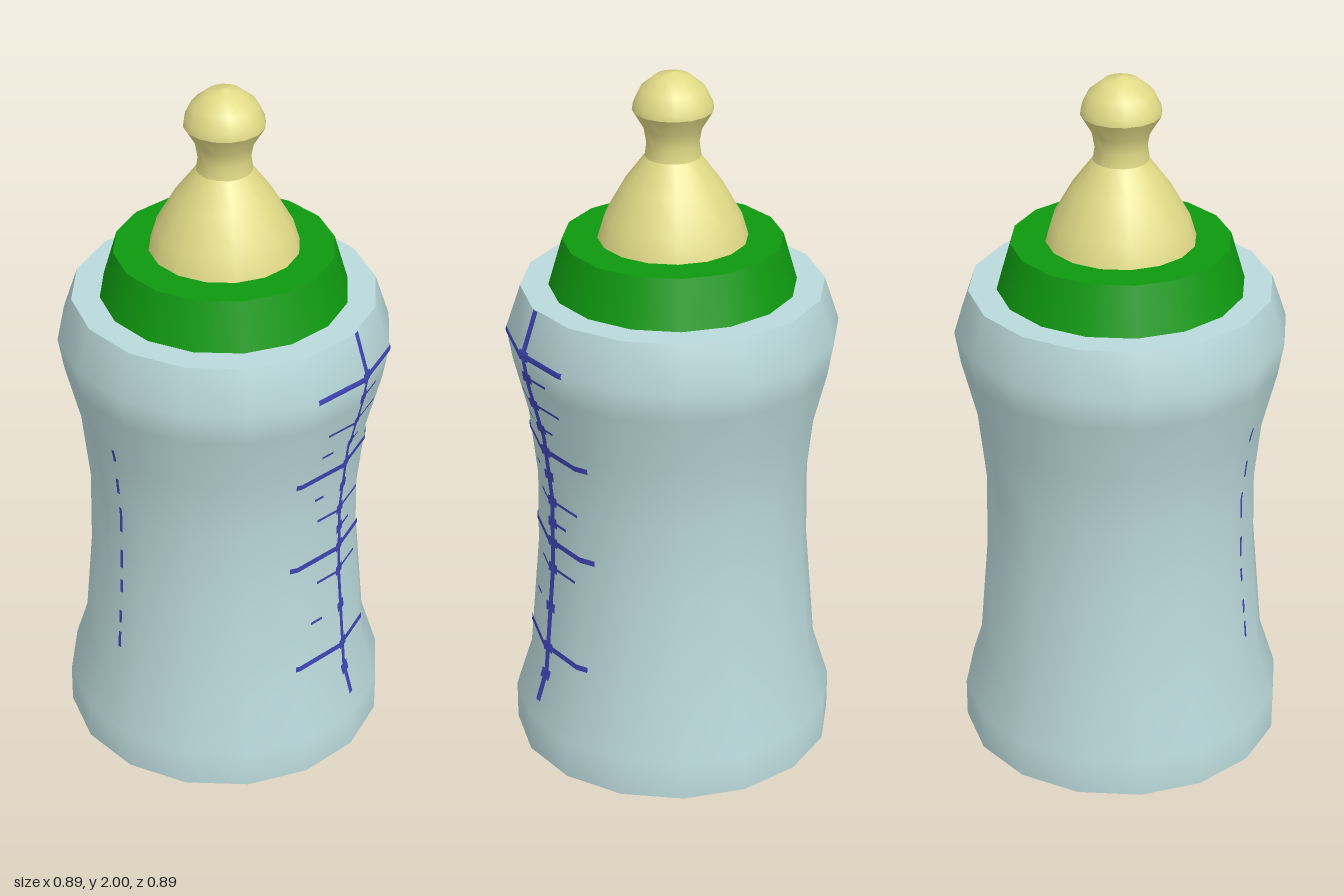
import * as THREE from 'three';

const SIDES = 16;
const STEP = (Math.PI * 2) / SIDES;

// Bottle wall profile: [radius, height]
const WALL = [[0.445, 0.075], [0.445, 0.185], [0.4, 0.33], [0.373, 0.65], [0.37, 0.86],
  [0.39, 1.05], [0.43, 1.21], [0.445, 1.3], [0.405, 1.42]];

function wallRadius(y) {
  for (let i = 1; i < WALL.length; i++) {
    const [r0, y0] = WALL[i - 1], [r1, y1] = WALL[i];
    if (y <= y1) return r0 + ((r1 - r0) * (y - y0)) / (y1 - y0);
  }
  return WALL[WALL.length - 1][0];
}

// Depth of the faceted wall at a given x and radius
function wallDepth(x, r) {
  const a = Math.abs(x), x1 = r * Math.sin(STEP), z1 = r * Math.cos(STEP);
  if (a <= x1) return r + ((z1 - r) * a) / x1;
  const x2 = r * Math.sin(2 * STEP), z2 = r * Math.cos(2 * STEP);
  return z1 + ((z2 - z1) * (a - x1)) / (x2 - x1);
}

// Printed rectangle that follows the facets of the wall
function mark(x0, x1, y0, y1) {
  const corner = wallRadius((y0 + y1) / 2) * Math.sin(STEP);
  const xs = [x0, ...[-corner, 0, corner].filter((x) => x > x0 && x < x1), x1];
  const ys = [y0, ...WALL.map((p) => p[1]).filter((y) => y > y0 && y < y1), y1];
  const pos = [], index = [];
  for (const y of ys) for (const x of xs) pos.push(x, y, wallDepth(x, wallRadius(y)) + 0.004);
  const n = xs.length;
  for (let j = 0; j < ys.length - 1; j++) {
    for (let i = 0; i < n - 1; i++) {
      const a = j * n + i, b = a + 1, c = a + n, d = c + 1;
      index.push(a, b, d, a, d, c);
    }
  }
  const g = new THREE.BufferGeometry();
  g.setAttribute('position', new THREE.Float32BufferAttribute(pos, 3));
  g.setIndex(index);
  g.computeVertexNormals();
  return g;
}

export function createModel() {
  const model = new THREE.Group();
  const mat = (name, color, side = THREE.FrontSide) => {
    const m = new THREE.MeshStandardMaterial({ color, side });
    m.name = name;
    return m;
  };
  const glass = mat('pale blue plastic', 0xbad8da);
  const green = mat('green plastic', 0x0f9910);
  const rubber = mat('cream rubber', 0xe0da86);
  const ink = mat('blue ink', 0x3f45b5, THREE.DoubleSide);

  // Each section is smooth; separate sections meet at a sharp edge
  function turned(name, material, sections) {
    const group = new THREE.Group();
    group.name = name;
    for (const pts of sections) {
      const g = new THREE.LatheGeometry(pts.map(([r, y]) => new THREE.Vector2(r, y)), SIDES);
      const m = new THREE.Mesh(g, material);
      m.name = name + 'Section';
      group.add(m);
    }
    model.add(group);
  }

  turned('bottle', glass, [
    [[0, 0], [0.33, 0], [0.445, 0.075]],
    WALL,
    [[0.405, 1.42], [0, 1.42]],
  ]);
  turned('collar', green, [
    [[0.33, 1.42], [0.292, 1.55]],
    [[0.292, 1.55], [0, 1.55]],
  ]);
  turned('teat', rubber, [
    [[0.199, 1.55], [0.181, 1.61], [0.13, 1.7], [0.074, 1.775]],
    [[0.074, 1.775], [0.069, 1.81], [0.076, 1.85], [0.106, 1.9]],
    [[0.106, 1.9], [0.103, 1.92], [0.085, 1.957], [0.045, 1.99], [0, 2]],
  ]);

  // Measuring scale on the front
  const scale = new THREE.Group();
  scale.name = 'measuringScale';
  model.add(scale);
  const addMark = (name, ...box) => {
    const m = new THREE.Mesh(mark(...box), ink);
    m.name = name;
    scale.add(m);
    return m;
  };
  addMark('scaleLine', 0.01, 0.028, 0.24, 1.42);
  for (const y of [0.405, 0.73, 1.01, 1.3]) addMark('longTick', -0.16, 0.18, y - 0.008, y + 0.008);
  const shortTicks = [[-0.07, 0.12, 0.65], [-0.07, 0.13, 0.855], [-0.09, 0.13, 1.155],
    [0, 0.1, 1.235], [0, 0.08, 0.79], [0, 0.07, 1.08],
    [-0.1, -0.06, 0.53], [-0.09, -0.06, 0.935], [-0.09, -0.05, 1.08]];
  for (const [x0, x1, y] of shortTicks) addMark('shortTick', x0, x1, y - 0.004, y + 0.004);
  for (const y of [0.32, 0.405, 0.53, 0.65, 0.73, 0.79, 0.855, 0.935, 1.01, 1.08, 1.155, 1.235, 1.3]) {
    addMark('tickJoint', 0, 0.038, y - 0.014, y + 0.014);
  }

  // Faint broken line on the right side
  for (const [y0, y1] of [[0.42, 0.47], [0.5, 0.54], [0.6, 0.64], [0.68, 0.74], [0.8, 0.88], [0.93, 0.98], [1.04, 1.08]]) {
    addMark('sideDash', -0.085, -0.075, y0, y1).rotation.y = -Math.PI / 2;
  }
  return model;
}
